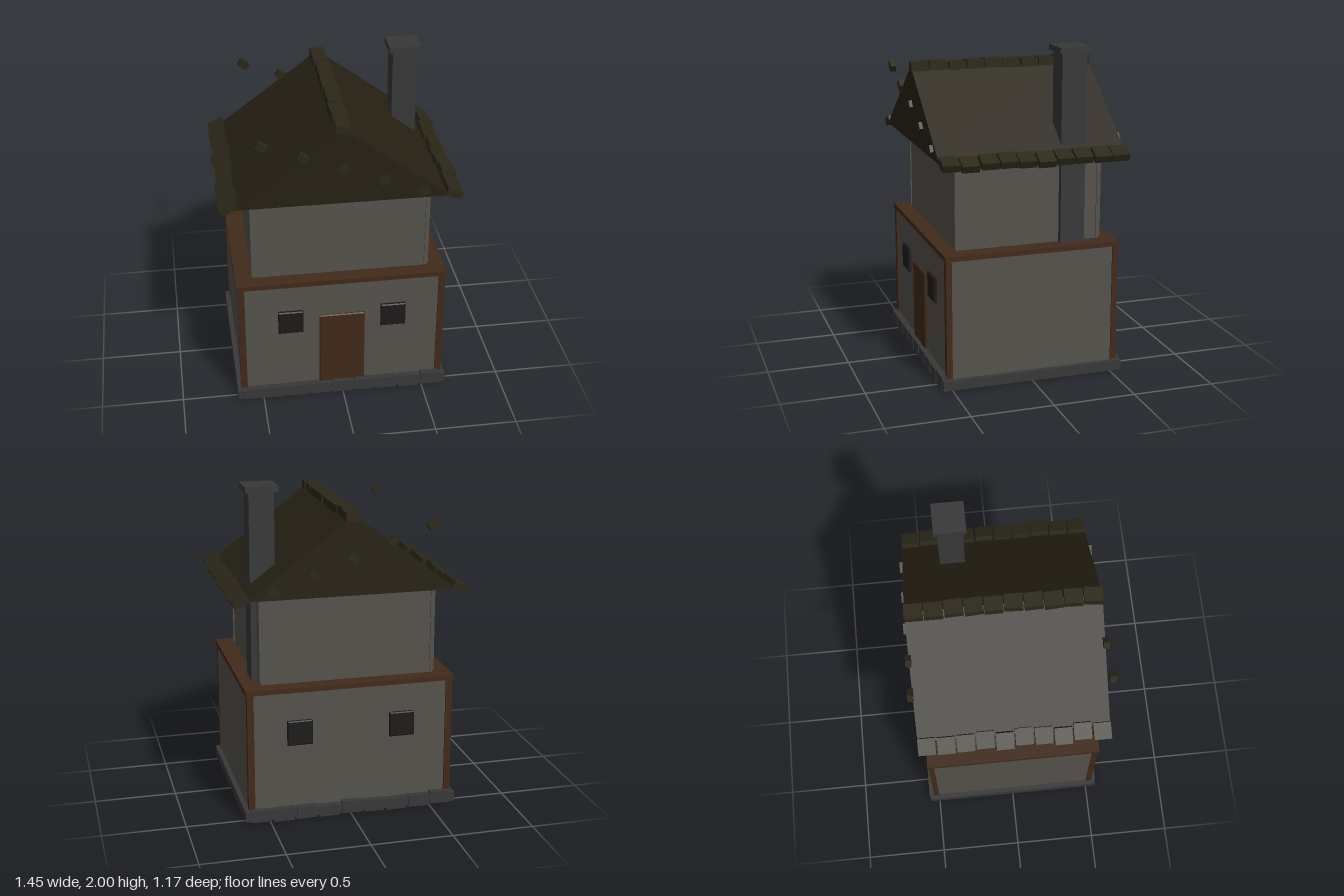
import * as THREE from 'three';

const mat = (color) => new THREE.MeshStandardMaterial({ color, flatShading: true });

export function createModel() {
  const model = new THREE.Group();
  const wall = mat(0x55524c), brown = mat(0x412a1a), roofMat = mat(0x272114);
  const tileMat = mat(0x2b2718), stone = mat(0x383838), glass = mat(0x1e1a1a);
  const CX = -0.005; // house axis

  // small seeded generator, -1..1
  let seed = 7;
  const jitter = () => {
    seed = (seed * 16807) % 2147483647;
    return (seed / 2147483647) * 2 - 1;
  };

  const box = (name, m, w, h, d, x, y, z, parent = model) => {
    const mesh = new THREE.Mesh(new THREE.BoxGeometry(w, h, d), m);
    mesh.name = name;
    mesh.position.set(x, y, z);
    parent.add(mesh);
    return mesh;
  };
  const group = (name) => {
    const g = new THREE.Group();
    g.name = name;
    model.add(g);
    return g;
  };

  // foundation slab and rows of uneven stones along front and back
  box('foundation', stone, 1.31, 0.06, 1.12, CX, 0.045, 0);
  const stones = group('foundationStones');
  for (const s of [1, -1]) {
    for (let i = 0; i < 9; i++) {
      const st = box('foundationStone', stone, 0.125, 0.075 + 0.007 * jitter(), 0.06,
        CX + (i - 4) * 0.14, 0.045, s * 0.535, stones);
      st.position.y = st.geometry.parameters.height / 2 + 0.008 + 0.006 * jitter();
      st.rotation.z = 0.02 * jitter();
    }
  }
  stones.children[4].position.y = 0.05;

  // ground floor with timber frame
  box('lowerWalls', wall, 1.25, 0.74, 1.05, CX, 0.44, 0);
  const frame = group('timberFrame');
  for (const sx of [1, -1]) {
    for (const sz of [1, -1]) {
      box('cornerPost', brown, 0.04, 0.73, 0.035, CX + sx * 0.612, 0.445, sz * 0.517, frame);
    }
  }
  box('floorBeam', brown, 1.28, 0.03, 1.08, CX, 0.818, 0, frame);

  // door and bevelled windows
  const panel = (name, m, w, h, x, y, z) => {
    const b = 0.006, a = w / 2 - b, c = h / 2 - b;
    const shape = new THREE.Shape([[-a, -c], [a, -c], [a, c], [-a, c]].map((p) => new THREE.Vector2(...p)));
    const geo = new THREE.ExtrudeGeometry(shape, {
      depth: 0.02, bevelSize: b, bevelThickness: b, bevelSegments: 1,
    }).translate(0, 0, -0.01);
    const mesh = new THREE.Mesh(geo, m);
    mesh.name = name;
    mesh.position.set(x, y, z);
    model.add(mesh);
  };
  panel('door', brown, 0.28, 0.5, CX, 0.33, 0.523);
  for (const sz of [1, -1]) {
    for (const sx of [1, -1]) panel('window', glass, 0.153, 0.153, CX + sx * 0.315, 0.55, sz * 0.53);
  }

  // upper floor with corner posts and a beam under the roof
  box('upperWalls', wall, 1.06, 0.55, 0.89, CX, 1.1, 0);
  const posts = group('upperPosts');
  for (const sx of [1, -1]) {
    for (const sz of [1, -1]) {
      box('upperPost', wall, 0.025, 0.51, 0.025, CX + sx * 0.525, 1.1, sz * 0.44, posts);
    }
  }
  box('roofBeam', brown, 1.09, 0.03, 0.92, CX, 1.365, 0);

  // gabled roof
  const gable = new THREE.Shape();
  gable.moveTo(CX - 0.63, 1.378);
  gable.lineTo(CX + 0.63, 1.378);
  gable.lineTo(CX, 1.845);
  gable.closePath();
  const roof = new THREE.Mesh(
    new THREE.ExtrudeGeometry(gable, { depth: 1.13, bevelEnabled: false }).translate(0, 0, -0.565), roofMat);
  roof.name = 'roof';
  model.add(roof);

  // ridge and eave tiles, each slightly out of line
  const tiles = group('roofTiles');
  for (let i = 0; i < 10; i++) {
    const z = (i - 4.5) * 0.114;
    const r = box('ridgeTile', tileMat, 0.09, 0.05, 0.108, CX - 0.003 + 0.006 * jitter(),
      1.842 + 0.005 * jitter(), z, tiles);
    r.rotation.y = 0.09 * jitter();
    for (const s of [1, -1]) {
      const e = box('eaveTile', tileMat, 0.1, 0.045, 0.104, CX + s * (0.662 + 0.01 * jitter()),
        1.38 + 0.006 * jitter(), z, tiles);
      e.rotation.z = -s * (0.43 + 0.05 * jitter());
    }
  }

  // stepped line of small tiles across each gable, the outer ones standing clear of it
  const gableTiles = group('gableTiles');
  for (const sz of [1, -1]) {
    for (let i = 0; i < 5; i++) {
      const t = box('gableTile', tileMat, 0.065, 0.045, 0.035,
        CX + (i - 2) * 0.235, 1.603 - (i - 2) * 0.0875, sz * 0.568, gableTiles);
      t.rotation.z = i < 2 ? -0.6 : 0.58;
    }
  }

  // chimney running down through the house, with a cap
  box('chimney', stone, 0.15, 1.91, 0.15, 0.485, 1.015, -0.265);
  box('chimneyCap', stone, 0.195, 0.035, 0.19, 0.485, 1.9825, -0.265);

  return model;
}
